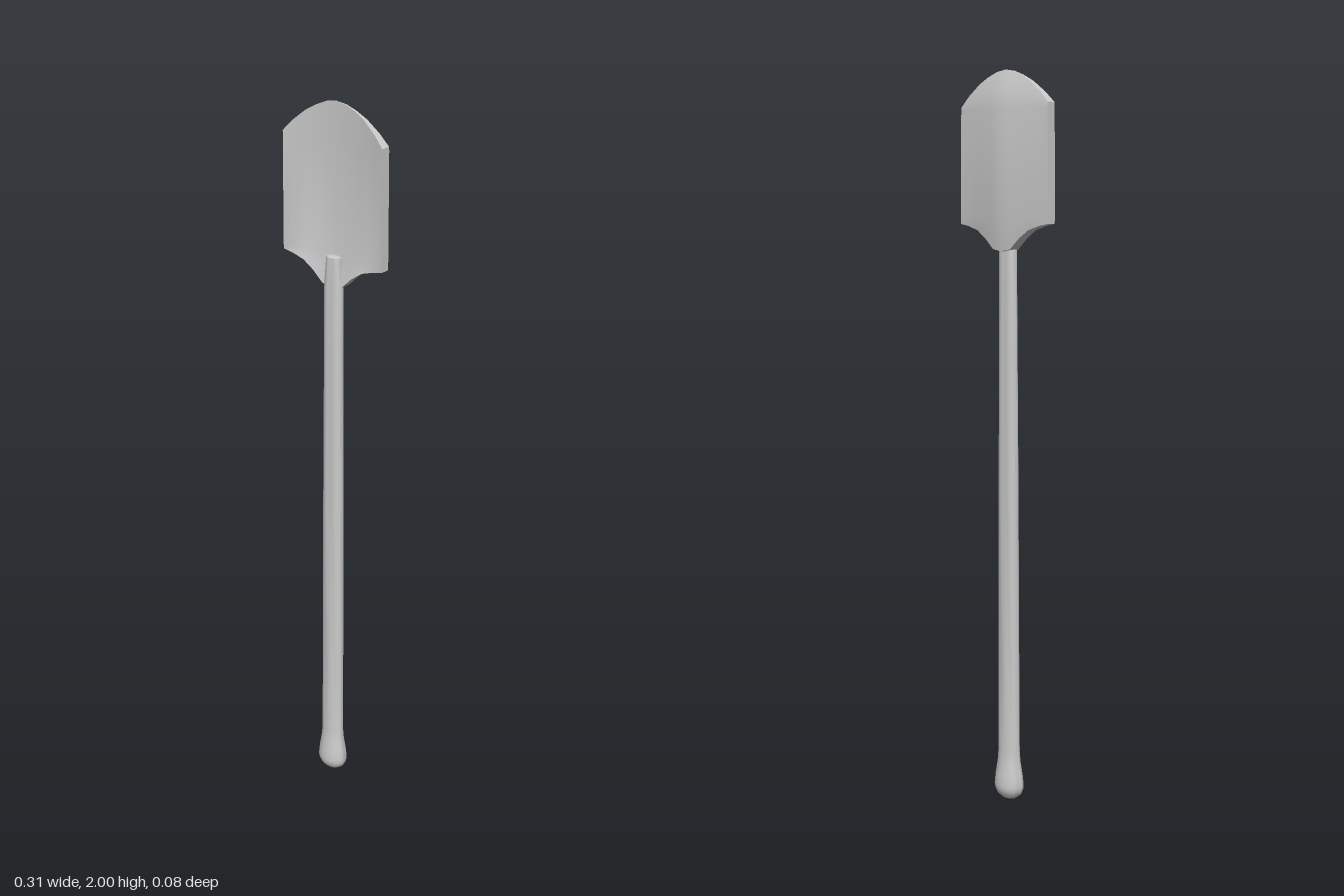
import * as THREE from 'three';
import { toCreasedNormals } from 'three/addons/utils/BufferGeometryUtils.js';

const material = new THREE.MeshStandardMaterial({ color: 0xcccccc });

// Joins rows of points into one list of triangles
function skin(rows, out) {
  for (let j = 0; j < rows.length - 1; j++) {
    for (let i = 0; i < rows[j].length - 1; i++) {
      const a = rows[j][i], b = rows[j][i + 1], c = rows[j + 1][i + 1], d = rows[j + 1][i];
      out.push(...a, ...b, ...c, ...a, ...c, ...d);
    }
  }
}

// Tapered oval shaft with a rounded knob at the foot
function makeHandle() {
  const profile = [
    [0, 0], [0.024, 0.004], [0.038, 0.015], [0.045, 0.03], [0.046, 0.042], [0.043, 0.07],
    [0.037, 0.11], [0.035, 0.14], [0.034, 0.4], [0.032, 0.9], [0.029, 1.35], [0.028, 1.53],
    [0.022, 1.61], [0, 1.615],
  ].map(([x, y]) => new THREE.Vector2(x, y));
  const geometry = new THREE.LatheGeometry(profile, 20);
  const p = geometry.attributes.position;
  for (let i = 0; i < p.count; i++) {
    const y = p.getY(i);
    const flatten = 0.63 + 0.11 * THREE.MathUtils.clamp((0.16 - y) / 0.1, 0, 1);
    p.setZ(i, p.getZ(i) * flatten + 0.005 * (1 - y / 1.6));
  }
  const handle = new THREE.Mesh(toCreasedNormals(geometry, 0.9), material);
  handle.name = 'handle';
  return handle;
}

// Dished front, ridged back, bevelled tip and curved shoulders
function makeBlade() {
  // Half outline: x, bottom y, top y
  const half = [
    [0, 1.53, 2], [0.03, 1.536, 1.995], [0.06, 1.565, 1.983],
    [0.09, 1.586, 1.966], [0.125, 1.597, 1.938], [0.152, 1.602, 1.91],
  ];
  const columns = [...half.slice(1).reverse().map(([x, b, t]) => [-x, b, t]), ...half];
  const front = [[], [], [], [], []];
  const back = [[], [], [], [], []];
  for (const [x, bottom, top] of columns) {
    const s = Math.abs(x) / 0.152;
    const dish = -0.008 + 0.018 * s * s;
    const ridge = -0.038 + 0.019 * s;
    const rim = -0.009 - 0.009 * s;
    const levels = [bottom, 1.615, 1.9, (1.9 + top) / 2, top];
    const frontZ = [0.008, dish, dish, dish, dish];
    const backZ = [ridge + 0.01 * (1 - s), ridge, ridge, ridge + 0.3 * (rim - ridge), rim];
    levels.forEach((y, j) => {
      const wide = x * (j < 2 ? 1.02 : 1);
      front[j].push([wide, y, frontZ[j]]);
      back[j].push([wide, y, backZ[j]]);
    });
  }
  const perimeter = (g) => {
    const last = g[0].length - 1;
    return [
      ...g[0], ...g.slice(1).map((row) => row[last]),
      ...[...g[4]].reverse().slice(1),
      ...[...g].reverse().slice(1).map((row) => row[0]),
    ];
  };
  const triangles = [];
  skin(front, triangles);
  skin(back.map((row) => [...row].reverse()), triangles);
  skin([perimeter(back), perimeter(front)], triangles);
  const geometry = new THREE.BufferGeometry();
  geometry.setAttribute('position', new THREE.Float32BufferAttribute(triangles, 3));
  const blade = new THREE.Mesh(toCreasedNormals(geometry, 0.6), material);
  blade.name = 'blade';
  return blade;
}

export function createModel() {
  const group = new THREE.Group();
  group.name = 'paddle';
  group.add(makeHandle(), makeBlade());
  return group;
}
